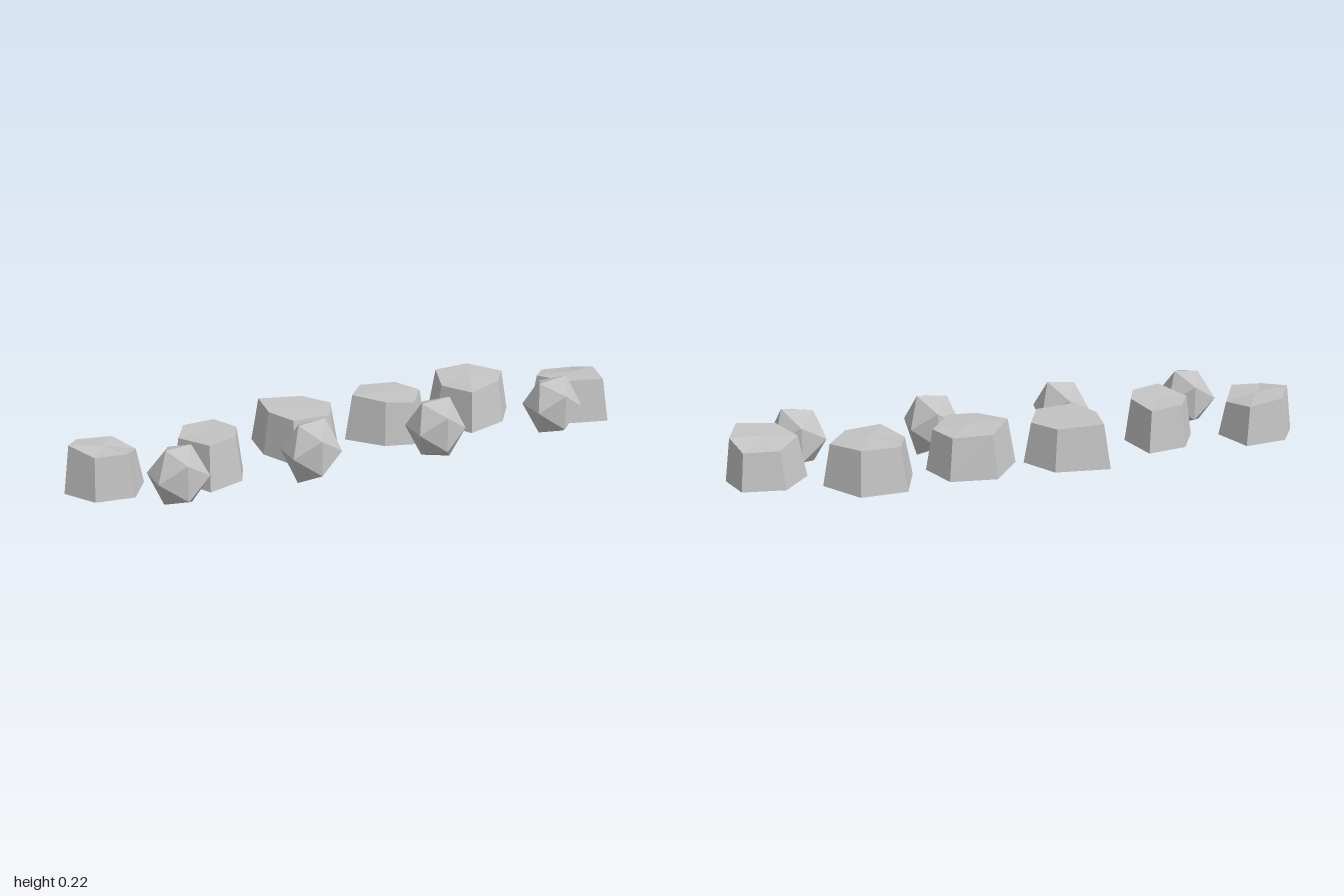
import * as THREE from 'three';

// Tapered six-sided block: base corners [x, z, rimHeight] run left, back, right, front.
function blockGeometry(corners, crown) {
  const baseY = 0.032, taper = 0.83;
  const cx = corners.reduce((s, c) => s + c[0], 0) / corners.length;
  const cz = corners.reduce((s, c) => s + c[1], 0) / corners.length;
  const base = corners.map(([x, z]) => [x, baseY, z]);
  const rim = corners.map(([x, z, h]) => [cx + (x - cx) * taper, h, cz + (z - cz) * taper]);
  const under = [cx, baseY, cz], top = [cx, crown, cz];
  const pos = [];
  const tri = (a, b, c) => pos.push(...a, ...b, ...c);
  corners.forEach((_, i) => {
    const j = (i + 1) % corners.length;
    tri(base[j], base[i], rim[i]);
    tri(base[j], rim[i], rim[j]);
    tri(top, rim[j], rim[i]);
    tri(under, base[i], base[j]);
  });
  const g = new THREE.BufferGeometry();
  g.setAttribute('position', new THREE.Float32BufferAttribute(pos, 3));
  g.computeVertexNormals();
  return g;
}

// Tall icosahedral pebble; the four upper and lower tips get their own offsets.
function pebbleGeometry(tips) {
  const g = new THREE.IcosahedronGeometry(1, 0);
  const p = g.attributes.position;
  for (let i = 0; i < p.count; i++) {
    const x = p.getX(i), y = p.getY(i), z = p.getZ(i);
    if (Math.abs(y) > 0.8) {
      const [tx, ty] = tips[(y > 0 ? 0 : 2) + (x > 0 ? 1 : 0)];
      p.setXYZ(i, tx, ty, z * 0.105);
    } else {
      p.setXYZ(i, x * 0.104, y * 0.118, z * 0.106);
    }
  }
  g.computeVertexNormals();
  return g;
}

export function createModel() {
  const group = new THREE.Group();
  const stone = new THREE.MeshStandardMaterial({ color: 0xc4c4c4, flatShading: true });
  stone.name = 'light grey stone';

  // Back row of cut blocks
  const blocks = [
    [0.182, [-1, -0.065, 0.2], [-0.94, -0.155, 0.185], [-0.79, -0.17, 0.17], [-0.733, -0.045, 0.155], [-0.8, 0.062, 0.18], [-0.93, 0.045, 0.18]],
    [0.185, [-0.64, -0.015, 0.18], [-0.58, -0.12, 0.185], [-0.44, -0.142, 0.18], [-0.395, -0.005, 0.187], [-0.435, 0.088, 0.187], [-0.565, 0.132, 0.187]],
    [0.185, [-0.285, -0.085, 0.185], [-0.27, -0.23, 0.19], [-0.08, -0.207, 0.18], [0, -0.097, 0.176], [-0.06, 0.033, 0.178], [-0.23, 0.042, 0.183]],
    [0.188, [0.025, -0.085, 0.195], [0.12, -0.208, 0.185], [0.28, -0.187, 0.18], [0.335, -0.067, 0.178], [0.24, 0.063, 0.18], [0.125, 0.03, 0.187]],
    [0.19, [0.385, -0.085, 0.17], [0.43, -0.225, 0.186], [0.59, -0.23, 0.188], [0.693, -0.105, 0.18], [0.61, 0.008, 0.183], [0.455, 0.058, 0.175]],
    [0.183, [0.73, -0.01, 0.18], [0.815, -0.106, 0.165], [0.96, -0.085, 0.163], [1, 0.02, 0.186], [0.955, 0.166, 0.187], [0.8, 0.124, 0.187]],
  ];
  blocks.forEach(([crown, ...corners], i) => {
    const mesh = new THREE.Mesh(blockGeometry(corners, crown), stone);
    mesh.name = `blockStone${i + 1}`;
    group.add(mesh);
  });

  // Front row of pebbles: upper left, upper right, lower left, lower right tips
  const pebbles = [
    [[-0.04, 0.09], [0.047, 0.096], [-0.053, -0.098], [0.043, -0.106]],
    [[-0.045, 0.093], [0.053, 0.104], [-0.05, -0.113], [0.046, -0.098]],
    [[-0.053, 0.092], [0.053, 0.101], [-0.053, -0.096], [0.058, -0.12]],
    [[-0.055, 0.088], [0.053, 0.104], [-0.05, -0.098], [0.048, -0.108]],
  ];
  pebbles.forEach((tips, i) => {
    const mesh = new THREE.Mesh(pebbleGeometry(tips), stone);
    mesh.name = `pebble${i + 1}`;
    mesh.position.set(-0.675 + i * 0.47, 0.12, 0.135);
    group.add(mesh);
  });

  return group;
}
